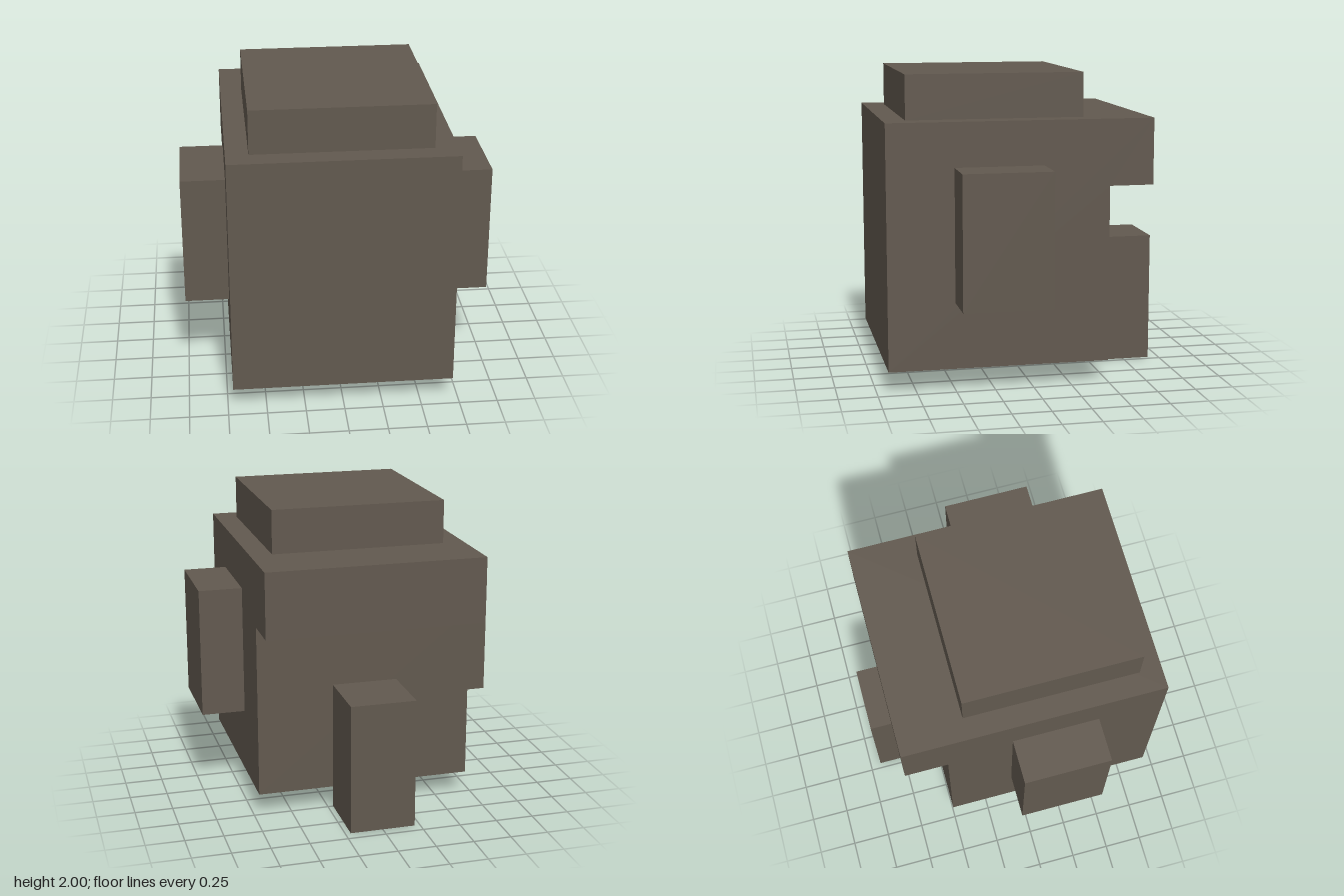
import * as THREE from 'three';

const U = 1 / 7; // modelling unit

export function createModel() {
  const model = new THREE.Group();
  const brown = new THREE.MeshStandardMaterial({ color: 0x62594f });
  brown.name = 'dark taupe';

  const add = (name, geometry) => {
    const mesh = new THREE.Mesh(geometry, brown);
    mesh.name = name;
    model.add(mesh);
  };

  // Box given by its lower and upper corners, in units
  const block = (name, [x0, y0, z0], [x1, y1, z1]) => {
    const geometry = new THREE.BoxGeometry((x1 - x0) * U, (y1 - y0) * U, (z1 - z0) * U);
    geometry.translate((x0 + x1) / 2 * U, (y0 + y1) / 2 * U, (z0 + z1) / 2 * U);
    add(name, geometry);
  };

  // Body with a rear overhang: side profile (z, y) extruded across the width
  const profile = [[6.5, 1], [6.5, 12], [-5.5, 12], [-5.5, 9], [-3.5, 9], [-3.5, 1]];
  const shape = new THREE.Shape(profile.map(([z, y]) => new THREE.Vector2(z * U, y * U)));
  const body = new THREE.ExtrudeGeometry(shape, { depth: 10 * U, bevelEnabled: false });
  body.rotateY(-Math.PI / 2);
  body.translate(5 * U, 0, 0);
  add('body', body);

  // Raised top
  block('topBlock', [-4, 12, -2.5], [4, 14, 5.5]);

  // Side blocks
  block('leftSideBlock', [5, 4, -0.5], [7, 10, 3.5]);
  block('rightSideBlock', [-7, 4, -0.5], [-5, 10, 3.5]);

  // Rear block reaching the ground
  block('rearBlock', [-1.5, 0, -6.5], [1.5, 6, -3.5]);

  return model;
}
